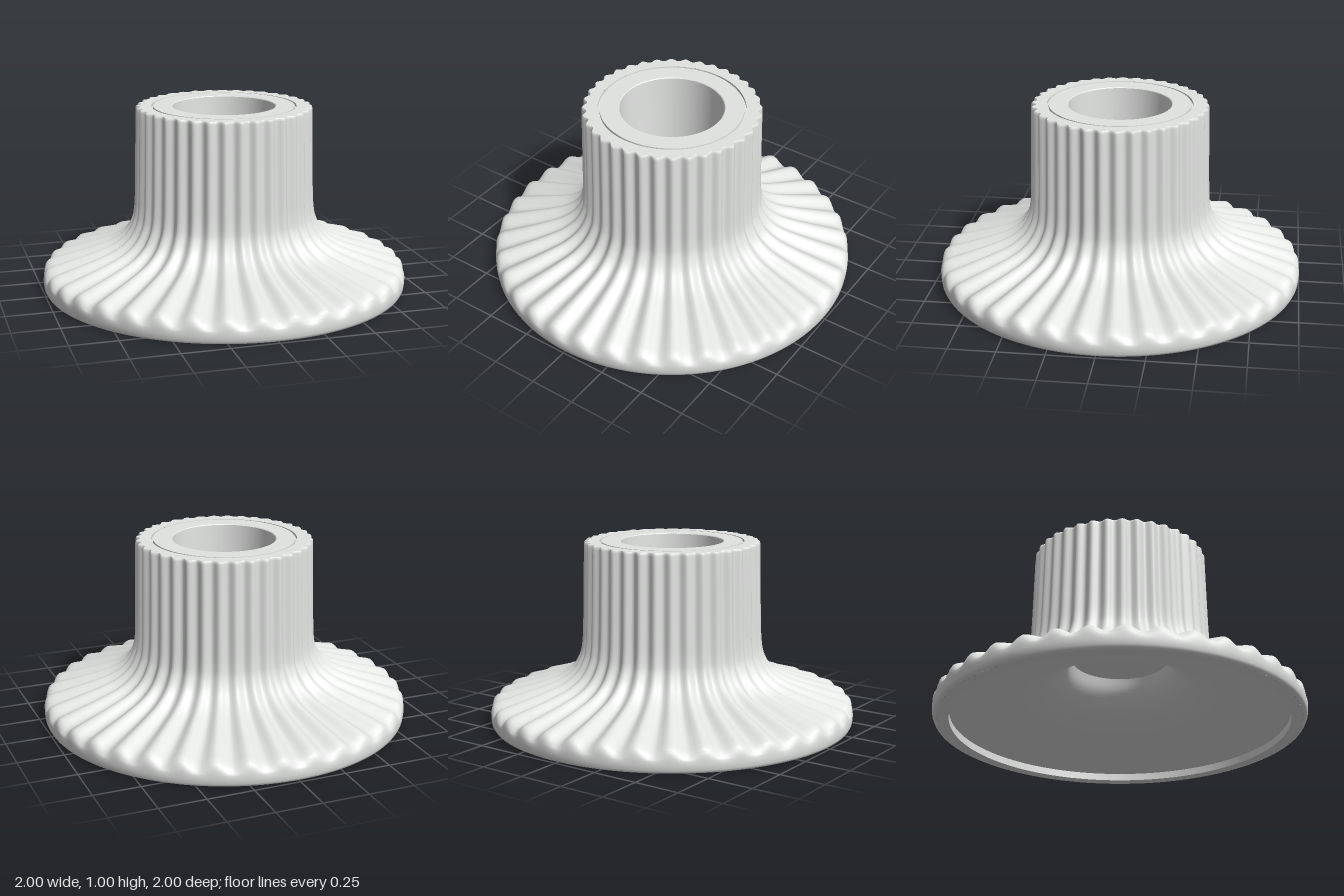
import * as THREE from 'three';
import { mergeVertices, toCreasedNormals } from 'three/addons/utils/BufferGeometryUtils.js';

const FLUTES = 36;
const FLARE_DEPTH = 0.034;
const NECK_DEPTH = 0.022;
const SEGMENTS = FLUTES * 8;

const pts = (list) => list.map(([r, y]) => new THREE.Vector2(r, y));

// Sinks evenly spaced grooves into a lathed surface: inward on the neck, downward on the flare.
function flute(geometry, weight) {
  const { lerp, smoothstep } = THREE.MathUtils;
  const p = geometry.attributes.position;
  for (let i = 0; i < p.count; i++) {
    const x = p.getX(i), y = p.getY(i), z = p.getZ(i);
    const r = Math.hypot(x, z);
    const wave = 0.5 + 0.5 * Math.cos(FLUTES * Math.atan2(x, z));
    const t = smoothstep(y, 0.18, 0.42);
    const d = -lerp(FLARE_DEPTH, NECK_DEPTH, t) * wave * weight(r, y);
    const k = (r + d * lerp(0.29, 1, t)) / r;
    p.setXYZ(i, x * k, y + d * lerp(0.96, 0, t), z * k);
  }
  geometry.deleteAttribute('normal');
  geometry.deleteAttribute('uv');
  const merged = mergeVertices(geometry, 1e-5);
  merged.computeVertexNormals();
  return merged;
}

// Plain turned part with crisp edges where its profile bends sharply.
const turned = (list) => toCreasedNormals(new THREE.LatheGeometry(pts(list), 128), 0.5);

export function createModel() {
  const model = new THREE.Group();
  const grey = new THREE.MeshStandardMaterial({ color: 0xe2e4e2 });
  grey.name = 'light grey';
  const add = (name, geometry) => {
    const mesh = new THREE.Mesh(geometry, grey);
    mesh.name = name;
    model.add(mesh);
  };

  // Fluted outer skin: smooth rim, shallow flare, then a nearly straight neck
  const flare = new THREE.SplineCurve(pts([
    [0.95, 0.142], [0.85, 0.172], [0.72, 0.212], [0.62, 0.25], [0.55, 0.302],
    [0.51, 0.37], [0.495, 0.44], [0.489, 0.55], [0.484, 0.75], [0.479, 0.985],
  ])).getPoints(40);
  const skin = [
    ...pts([[0.975, 0], [0.99, 0.006], [0.997, 0.02], [1, 0.045], [1, 0.07],
      [0.998, 0.09], [0.993, 0.108], [0.985, 0.122], [0.972, 0.133]]),
    ...flare,
    new THREE.Vector2(0.477, 0.995), new THREE.Vector2(0.473, 1),
  ];
  add('flutedBody', flute(new THREE.LatheGeometry(skin, SEGMENTS),
    (r, y) => THREE.MathUtils.smoothstep(y, 0.05, 0.13)));

  // Flat scalloped ring on top of the neck
  add('topRing', flute(new THREE.LatheGeometry(pts([[0.473, 1], [0.393, 1]]), SEGMENTS),
    (r) => (r > 0.43 ? 1 : 0)));

  // Narrow groove, inner collar and the blind bore with its floor
  add('collarAndBore', turned([
    [0.393, 1], [0.393, 0.985], [0.383, 0.985], [0.383, 1], [0.282, 1],
    [0.278, 0.996], [0.255, 0.42], [0, 0.42],
  ]));

  // Hollow underside: flat cap, steep throat flaring out to the inner lip
  const hollow = new THREE.SplineCurve(pts([
    [0.262, 0.38], [0.288, 0.31], [0.34, 0.248], [0.42, 0.195],
    [0.52, 0.152], [0.65, 0.11], [0.8, 0.07], [0.91, 0.04],
  ])).getPoints(32).map((v) => [v.x, v.y]);
  add('hollowUnderside', turned([[0, 0.38], ...hollow, [0.91, 0]]));

  // Flat foot
  add('foot', turned([[0.91, 0], [0.975, 0]]));

  return model;
}
